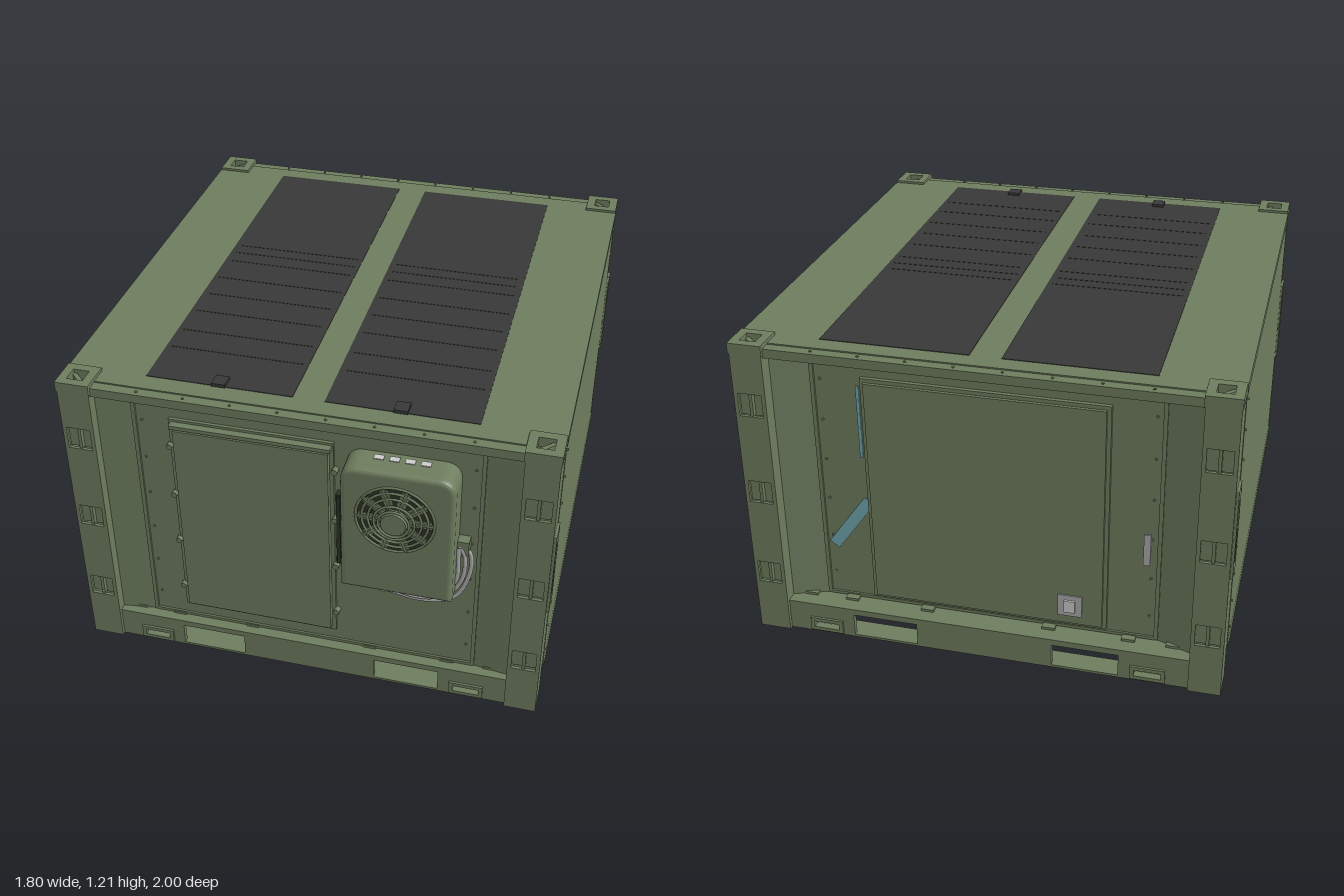
import * as THREE from 'three';

const mat = (color) => new THREE.MeshStandardMaterial({ color });
const green = mat(0x6d7c5e), dark = mat(0x383838), shade = mat(0x2b3226), steel = mat(0xaaaaaa);
const grey = mat(0xcccccc), teal = mat(0x6fa5ad);

export function createModel() {
  const root = new THREE.Group();
  const add = (name, geo, m = green, parent = root) => {
    const mesh = new THREE.Mesh(geo, m);
    mesh.name = name;
    parent.add(mesh);
    return mesh;
  };
  // box from its limits, in any order
  const box = (name, x0, x1, y0, y1, z0, z1, m, parent) => {
    const g = new THREE.BoxGeometry(Math.abs(x1 - x0), Math.abs(y1 - y0), Math.abs(z1 - z0));
    g.translate((x0 + x1) / 2, (y0 + y1) / 2, (z0 + z1) / 2);
    return add(name, g, m, parent);
  };
  const rect = (P, [u0, u1, v0, v1]) => {
    const p = new P();
    p.moveTo(u0, v0); p.lineTo(u1, v0); p.lineTo(u1, v1); p.lineTo(u0, v1); p.closePath();
    return p;
  };
  // plate with rectangular holes, centred on "at" along its axis
  const plate = (name, axis, outline, holes, at, t, m, parent) => {
    const s = rect(THREE.Shape, outline);
    holes.forEach((h) => s.holes.push(rect(THREE.Path, h)));
    const g = new THREE.ExtrudeGeometry(s, { depth: t, bevelEnabled: false });
    g.translate(0, 0, -t / 2);
    if (axis === 'x') g.rotateY(-Math.PI / 2);
    if (axis === 'y') g.rotateX(Math.PI / 2);
    g.translate(axis === 'x' ? at : 0, axis === 'y' ? at : 0, axis === 'z' ? at : 0);
    return add(name, g, m, parent);
  };
  // upright prism over a footprint of [x, z] points
  const prism = (name, pts, y0, y1, m) => {
    const g = new THREE.ExtrudeGeometry(new THREE.Shape(pts.map((p) => new THREE.Vector2(...p))),
      { depth: y1 - y0, bevelEnabled: false });
    g.rotateX(Math.PI / 2).translate(0, y1, 0);
    return add(name, g, m);
  };
  const rivet = (x, y, z, axis) => {
    const g = new THREE.CylinderGeometry(0.005, 0.005, 0.008, 8);
    if (axis === 'x') g.rotateZ(Math.PI / 2);
    if (axis === 'z') g.rotateX(Math.PI / 2);
    add('rivet', g.translate(x, y, z));
  };

  // corner posts: hollow, with lashing pockets, side slots and pierced end fittings
  for (const sx of [-1, 1]) for (const sz of [-1, 1]) {
    const post = new THREE.Group();
    post.name = 'cornerPost';
    post.position.set(sx * 0.83, 0, sz > 0 ? 0.85 : -0.94);
    root.add(post);
    const pockets = [0.97, 0.61, 0.255];
    plate('postFace', 'z', [-0.06, 0.06, 0, 1.2], pockets.map((y) => [-0.045, 0.045, y - 0.045, y + 0.045]), sz * 0.054, 0.012, green, post);
    plate('postSide', 'x', [-0.06, 0.06, 0, 1.2], [[-0.02, 0.02, 0.53, 0.8]], sx * 0.054, 0.012, green, post);
    plate('postInnerFace', 'z', [-0.06, 0.06, 0, 1.2], [], -sz * 0.054, 0.012, green, post);
    plate('postInnerSide', 'x', [-0.06, 0.06, 0, 1.2], [], -sx * 0.054, 0.012, green, post);
    for (const y of pockets) {
      box('lashingPocket', -0.05, 0.05, y - 0.05, y + 0.05, sz * 0.03, sz * 0.036, green, post);
      box('lashingBar', -0.006, 0.006, y - 0.045, y + 0.045, sz * 0.036, sz * 0.055, green, post);
    }
    for (const y of [0.02, 1.19]) {
      const r = y > 1 ? 0.063 : 0.06;
      plate('cornerFitting', 'y', [-r, r, -r, r], [[-0.03, 0.03, -0.03, 0.03]], y, 0.04, green, post);
    }
    const bar = add('fittingBar', new THREE.BoxGeometry(0.084, 0.02, 0.016), green, post);
    bar.position.y = 1.185;
    bar.rotation.y = sx * sz * Math.PI / 4;
    // side lashing bracket with a keyhole opening
    plate('lashingBracket', 'x', [-0.042, 0.042, 0.5, 0.85], [[-0.016, 0.016, 0.55, 0.68], [-0.025, 0.025, 0.7, 0.79]], sx * 0.064, 0.012, green, post);
    box('bracketBack', sx * 0.036, sx * 0.046, 0.52, 0.82, -0.035, 0.035, green, post);
    box('bracketLatch', sx * 0.046, sx * 0.066, 0.56, 0.66, -0.008, 0.008, green, post);
    add('bracketRing', new THREE.TorusGeometry(0.018, 0.005, 6, 16).rotateY(Math.PI / 2).translate(sx * 0.062, 0.745, 0), green, post);
  }

  // side walls, with grey lining and rivets
  for (const s of [-1, 1]) {
    box('sideWall', s * 0.87, s * 0.893, 0.135, 1.2, -0.882, 0.792);
    box('sideLining', s * 0.862, s * 0.87, 0.14, 1.15, -0.88, 0.79, grey);
    box('sideWallEdge', s * 0.885, s * 0.898, 0.135, 0.15, -0.87, 0.785);
    for (let i = 0; i < 9; i++) for (const z of [-0.85, 0.765]) rivet(s * 0.894, 0.2 + i * 0.117, z, 'x');
    // side rail with two fork openings, lashing slots, sill and foot flange
    plate('sideRail', 'x', [-0.88, 0.79, 0, 0.12], [[-0.57, -0.31, 0.01, 0.1], [0.22, 0.48, 0.01, 0.1], [-0.72, -0.65, 0.022, 0.045], [0.55, 0.62, 0.022, 0.045]], s * 0.82, 0.02);
    box('sideSill', s * 0.78, s * 0.885, 0.1, 0.135, -0.88, 0.79);
    box('sideFlange', s * 0.775, s * 0.825, 0, 0.009, -0.88, 0.79);
    for (const z of [-0.67, 0.585]) plate('railLug', 'x', [z - 0.06, z + 0.06, 0.01, 0.055], [[z - 0.035, z + 0.035, 0.022, 0.045]], s * 0.855, 0.05);
  }

  // end walls, slanted returns, rails and top beams
  for (const { s, wall, rim, flare } of [{ s: 1, wall: 0.85, rim: 0.9, flare: 0.868 }, { s: -1, wall: -0.895, rim: -0.99, flare: -0.945 }]) {
    box('endWall', -0.65, 0.65, 0.12, 1.17, wall - s * 0.025, wall);
    for (const m of [-1, 1]) {
      prism('slantedReturn', [[m * 0.64, wall], [m * 0.775, flare], [m * 0.775, flare - s * 0.03], [m * 0.64, wall - s * 0.025]], 0.12, 1.17);
      box('wallTrim', m * 0.625, m * 0.64, 0.13, 1.15, wall, wall + s * 0.008);
      for (let i = 0; i < 6; i++) rivet(m * 0.605, 0.23 + i * 0.165, wall, 'z');
    }
    for (const y of [0.135, 1.135]) box('wallTrim', -0.63, 0.63, y - 0.006, y + 0.006, wall, wall + s * 0.008);
    const holes = [];
    for (const m of [-1, 1]) for (const [a, b, c, d] of [[0.26, 0.51, 0.01, 0.1], [0.57, 0.67, 0.025, 0.05]])
      holes.push([Math.min(m * a, m * b), Math.max(m * a, m * b), c, d]);
    plate('endRail', 'z', [-0.775, 0.775, 0, 0.12], holes, rim - s * 0.015, 0.02);
    box('endSill', -0.775, 0.775, 0.1, 0.125, wall - s * 0.05, rim - s * 0.005);
    box('endFlange', -0.775, 0.775, 0, 0.009, rim - s * 0.09, rim - s * 0.006);
    for (const m of [-1, 1]) plate('railLug', 'z', [m * 0.62 - 0.065, m * 0.62 + 0.065, 0.01, 0.065], [[m * 0.62 - 0.05, m * 0.62 + 0.05, 0.025, 0.05]], rim - s * 0.006, 0.02);
    box('topBeam', -0.77, 0.77, 1.16, 1.195, wall - s * 0.04, rim);
    for (let i = 0; i < 8; i++) rivet(-0.6 + i * 0.171, 1.195, rim - s * 0.02, 'y');
  }

  // roof, notched around the four corner fittings
  prism('roof', [[-0.765, 0.86], [0.765, 0.86], [0.765, 0.79], [0.895, 0.79], [0.895, -0.88], [0.765, -0.88],
    [0.765, -0.95], [-0.765, -0.95], [-0.765, -0.88], [-0.895, -0.88], [-0.895, 0.79], [-0.765, 0.79]], 1.165, 1.2);
  for (const [a, b] of [[-0.6, -0.06], [0.055, 0.6]]) {
    box('roofPad', a, b, 1.199, 1.202, -0.88, 0.785, dark);
    for (const z of [-0.21, -0.15, -0.08, 0.06, 0.19, 0.32, 0.46, 0.58])
      box('padSeam', a + 0.02, b - 0.02, 1.201, 1.203, z - 0.003, z + 0.003, shade);
  }
  for (const x of [-0.33, 0.325]) box('roofClip', x - 0.025, x + 0.025, 1.2, 1.213, 0.735, 0.79, dark);

  // open floor frame: long beams beside the fork openings, short ties in the outer bays
  for (const m of [-1, 1]) {
    for (const x of [0.235, 0.535, 0.7]) box('floorBeam', m * x - 0.025, m * x + 0.025, 0.1, 0.135, -0.93, 0.86);
    for (const z of [-0.59, -0.29, 0.2, 0.5]) box('floorTie', m * 0.535, m * 0.8, 0.102, 0.132, z - 0.015, z + 0.015);
  }

  // interior fittings
  box('innerPanel', 0.2, 0.55, 0.35, 0.75, 0.805, 0.825, teal);
  box('innerCabinet', -0.3, 0.05, 0.2, 0.7, 0.79, 0.825);
  box('innerLining', -0.75, -0.4, 0.65, 1.1, 0.815, 0.825, grey);
  for (const x of [-0.4, -0.65])
    add('innerRing', new THREE.TorusGeometry(0.03, 0.01, 6, 20).translate(x, 0.5, 0.82), shade);

  // front door with raised frame, hinges and handle
  box('frontDoorFrame', -0.5, 0.105, 0.195, 1.085, 0.85, 0.862);
  box('frontDoor', -0.48, 0.09, 0.22, 1.05, 0.862, 0.885);
  box('doorDripRail', -0.49, 0.1, 1.06, 1.075, 0.862, 0.89);
  for (const y of [0.3, 0.53, 0.75, 0.97]) for (const x of [-0.5, 0.11])
    add('doorCatch', new THREE.CylinderGeometry(0.012, 0.012, 0.025, 10).rotateX(Math.PI / 2).translate(x, y, 0.866));
  for (const x of [-0.4, -0.2, 0, 0.08]) rivet(x, 0.207, 0.864, 'z');
  box('doorHandle', 0.118, 0.132, 0.56, 0.87, 0.868, 0.885, shade);
  for (const y of [0.57, 0.86]) box('handleFoot', 0.115, 0.135, y - 0.015, y + 0.015, 0.85, 0.88, shade);

  // back door with latch, and the exposed strips beside it
  box('backDoorFrame', -0.45, 0.45, 0.15, 1.08, -0.91, -0.895);
  box('backDoor', -0.435, 0.435, 0.165, 1.065, -0.922, -0.91);
  box('backLatch', -0.36, -0.27, 0.2, 0.29, -0.927, -0.922, steel);
  box('latchGrip', -0.335, -0.295, 0.22, 0.27, -0.935, -0.927, grey);
  box('backVent', -0.6, -0.575, 0.45, 0.58, -0.9, -0.895, steel);
  const strip = add('exposedStrip', new THREE.BoxGeometry(0.26, 0.045, 0.004), teal);
  strip.position.set(0.525, 0.46, -0.897);
  strip.rotation.z = -0.95;
  box('exposedEdge', 0.46, 0.472, 0.75, 1.04, -0.899, -0.895, teal);

  // cooling unit with rounded corners
  const unit = new THREE.Group();
  unit.name = 'coolingUnit';
  root.add(unit);
  const body = new THREE.Shape();
  const [l, r, b, t, c] = [0.17, 0.54, 0.55, 1.055, 0.045];
  body.moveTo(l, b); body.lineTo(r, b);
  body.lineTo(r, t - c); body.quadraticCurveTo(r, t, r - c, t);
  body.lineTo(l + c, t); body.quadraticCurveTo(l, t, l, t - c);
  add('unitCasing', new THREE.ExtrudeGeometry(body, { depth: 0.095, bevelSize: 0.018, bevelThickness: 0.02, bevelSegments: 4, curveSegments: 8 })
    .translate(0, 0, 0.852), green, unit);
  for (let i = 0; i < 4; i++) box('topVent', 0.255 + i * 0.055, 0.29 + i * 0.055, 1.06, 1.076, 0.87, 0.895, grey, unit);
  const fan = new THREE.Group();
  fan.name = 'fan';
  fan.position.set(0.35, 0.88, 0.968);
  unit.add(fan);
  add('fanOpening', new THREE.CircleGeometry(0.142, 32), shade, fan).position.z = 0.001;
  [[0.14, 0.002], [0.118, 0.004], [0.095, 0.007], [0.072, 0.018], [0.055, 0.026]].forEach(([rad, z]) =>
    add('grilleRing', new THREE.TorusGeometry(rad, 0.005, 6, 32), green, fan).position.z = z);
  add('fanHub', new THREE.CylinderGeometry(0.045, 0.05, 0.026, 20).rotateX(Math.PI / 2), green, fan).position.z = 0.018;
  for (let i = 0; i < 10; i++) {
    const arm = new THREE.Group();
    arm.rotation.z = i * Math.PI / 5;
    fan.add(arm);
    box('grilleSpoke', 0.045, 0.14, -0.005, 0.005, 0.003, 0.009, green, arm);
    box('fanBlade', 0.05, 0.13, -0.015, 0.015, 0.001, 0.003, green, arm);
  }

  // cables looping below the cooling unit
  for (let i = 0; i < 3; i++) {
    const d = i * 0.02;
    const path = new THREE.CatmullRomCurve3([[0.565, 0.74], [0.605 - d, 0.7], [0.6 - d, 0.58], [0.55 - d, 0.48 + d], [0.44, 0.445 + d], [0.3, 0.465 + d]]
      .map(([x, y]) => new THREE.Vector3(x, y, 0.875 + d / 2)));
    add('cable', new THREE.TubeGeometry(path, 40, 0.008, 8), steel);
    box('cablePlug', 0.28, 0.31, 0.458 + d, 0.472 + d, 0.85, 0.885 + d / 2, steel);
  }
  box('cableSocket', 0.555, 0.6, 0.7, 0.76, 0.85, 0.89);
  return root;
}
